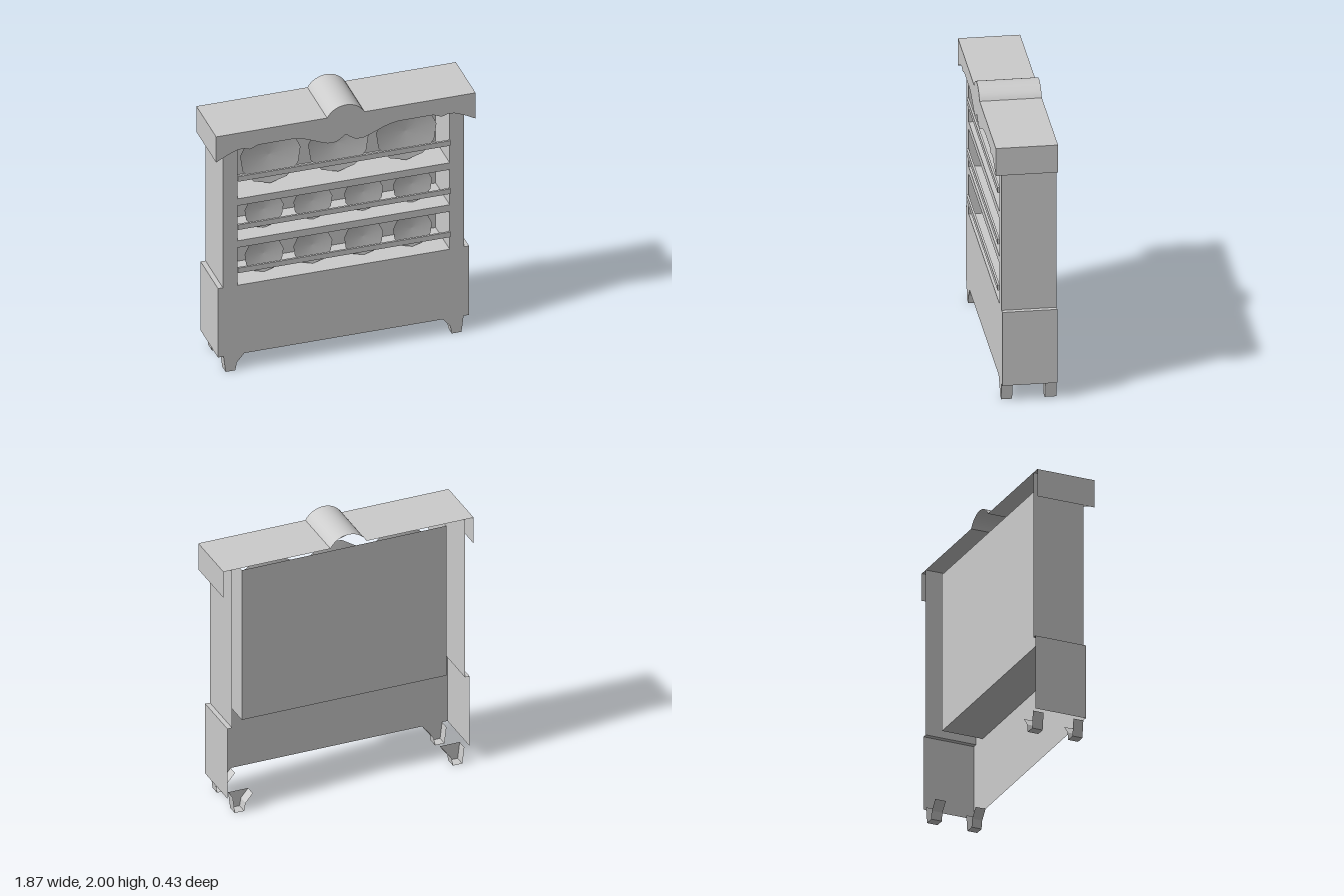
import * as THREE from 'three';

const mat = new THREE.MeshStandardMaterial({ color: 0xcccccc, side: THREE.DoubleSide, flatShading: true });
const smoothMat = new THREE.MeshStandardMaterial({ color: 0xcccccc, side: THREE.DoubleSide });

const BACK = -0.215, FRONT = 0.165, CROWN = 0.215, INNER = -0.14;
const TOP = 1.92, WAIST = 0.675, BASE = 0.125;

const shapeOf = (pts) => new THREE.Shape(pts.map(([x, y]) => new THREE.Vector2(x, y)));

// Closes a right-half outline with its mirror image
const mirrored = (half) => [...half, ...half.filter(([x]) => x > 0).reverse().map(([x, y]) => [-x, y])];

// Open sheet that sweeps a polyline along z
function strip(pts, z0, z1) {
  const pos = [], idx = [];
  pts.forEach(([x, y], i) => {
    pos.push(x, y, z0, x, y, z1);
    if (i) {
      const a = 2 * i - 2;
      idx.push(a, a + 1, a + 3, a, a + 3, a + 2);
    }
  });
  const g = new THREE.BufferGeometry();
  g.setAttribute('position', new THREE.Float32BufferAttribute(pos, 3));
  g.setIndex(idx);
  g.computeVertexNormals();
  return g;
}

export function createModel() {
  const root = new THREE.Group();
  const add = (name, geo, x = 0, y = 0, z = 0, m = mat) => {
    const mesh = new THREE.Mesh(geo, m);
    mesh.name = name;
    mesh.position.set(x, y, z);
    root.add(mesh);
    return mesh;
  };
  const box = (name, w, h, d, x, y, z) => add(name, new THREE.BoxGeometry(w, h, d), x, y, z);

  // Front: solid base with two stiles around the open shelves
  add('frontPanel', new THREE.ShapeGeometry(shapeOf(mirrored([
    [0.765, WAIST], [0.765, TOP], [0.87, TOP], [0.87, WAIST], [0.905, WAIST], [0.905, BASE],
  ]))), 0, 0, FRONT);

  // Outer sides with the ledge at the waist
  for (const s of [1, -1]) {
    add('sidePanel', strip([[s * 0.87, TOP], [s * 0.87, WAIST], [s * 0.905, WAIST], [s * 0.905, BASE]], BACK, FRONT));
  }

  // Inner case: side walls, floor and back board
  add('innerCase', strip([[-0.765, 1.855], [-0.765, WAIST], [0.765, WAIST], [0.765, 1.855]], INNER, FRONT));
  add('backBoard', new THREE.PlaneGeometry(1.53, 1.18), 0, 1.265, INNER);

  // Shelves and plate rails
  for (const y of [1.0025, 1.3375]) {
    box('shelf', 1.53, 0.055, FRONT - INNER, 0, y, (FRONT + INNER) / 2);
  }
  for (const y of [0.8, 1.145, 1.53]) box('plateRail', 1.53, 0.04, 0.015, 0, y, 0.172);

  // Plates: shallow dishes standing on their rims
  const plate = (x, y, r) => {
    const g = new THREE.LatheGeometry([
      new THREE.Vector2(0.0001, -0.1 * r), new THREE.Vector2(0.5 * r, -0.075 * r), new THREE.Vector2(r, 0),
    ], 11);
    g.rotateX(Math.PI / 2);
    add('plate', g, x, y, 0.05, smoothMat);
  };
  for (const x of [-0.49, 0, 0.49]) plate(x, 1.595, 0.22);
  for (const y of [0.817, 1.17]) for (const x of [-0.535, -0.183, 0.183, 0.535]) plate(x, y, 0.142);

  // Crown top: flat boards and a round arch
  const arc = [];
  const R = 0.154, cy = 2 - R, a0 = Math.asin((TOP - cy) / R);
  for (let i = 0; i <= 16; i++) {
    const a = a0 + (Math.PI - 2 * a0) * i / 16;
    arc.push([R * Math.cos(a), cy + R * Math.sin(a)]);
  }
  for (const s of [1, -1]) {
    add('crownTop', strip([[s * 0.935, 1.715], [s * 0.935, TOP], [arc[0][0] * s, TOP]], BACK, CROWN));
  }
  add('crownArch', strip(arc, BACK, CROWN), 0, 0, 0, smoothMat);

  // Crown front with the scalloped lower edge
  const edge = [
    [0, 1.765], [0.04, 1.735], [0.065, 1.72], [0.09, 1.715], [0.13, 1.717], [0.17, 1.73], [0.27, 1.773],
    [0.32, 1.79], [0.38, 1.8], [0.63, 1.8], [0.655, 1.79], [0.69, 1.775], [0.74, 1.79],
    [0.78, 1.787], [0.82, 1.772], [0.87, 1.75], [0.935, 1.715],
  ];
  add('valance', new THREE.ShapeGeometry(shapeOf([
    ...edge, [0.935, TOP], ...arc, [-0.935, TOP],
    ...edge.slice(1).reverse().map(([x, y]) => [-x, y]),
  ])), 0, 0, CROWN);

  // Bracket feet, hollow and open at the top and back
  for (const s of [1, -1]) {
    const foot = [[0.865, BASE], [0.85, 0], [0.78, 0], [0.77, 0.06], [0.715, BASE]].map(([x, y]) => [s * x, y]);
    for (const [name, z0, z1] of [['frontFoot', 0.09, FRONT], ['backFoot', BACK, -0.135]]) {
      add(name, strip(foot, z0, z1));
      add(name + 'Face', new THREE.ShapeGeometry(shapeOf(foot)), 0, 0, z1);
    }
  }
  return root;
}
